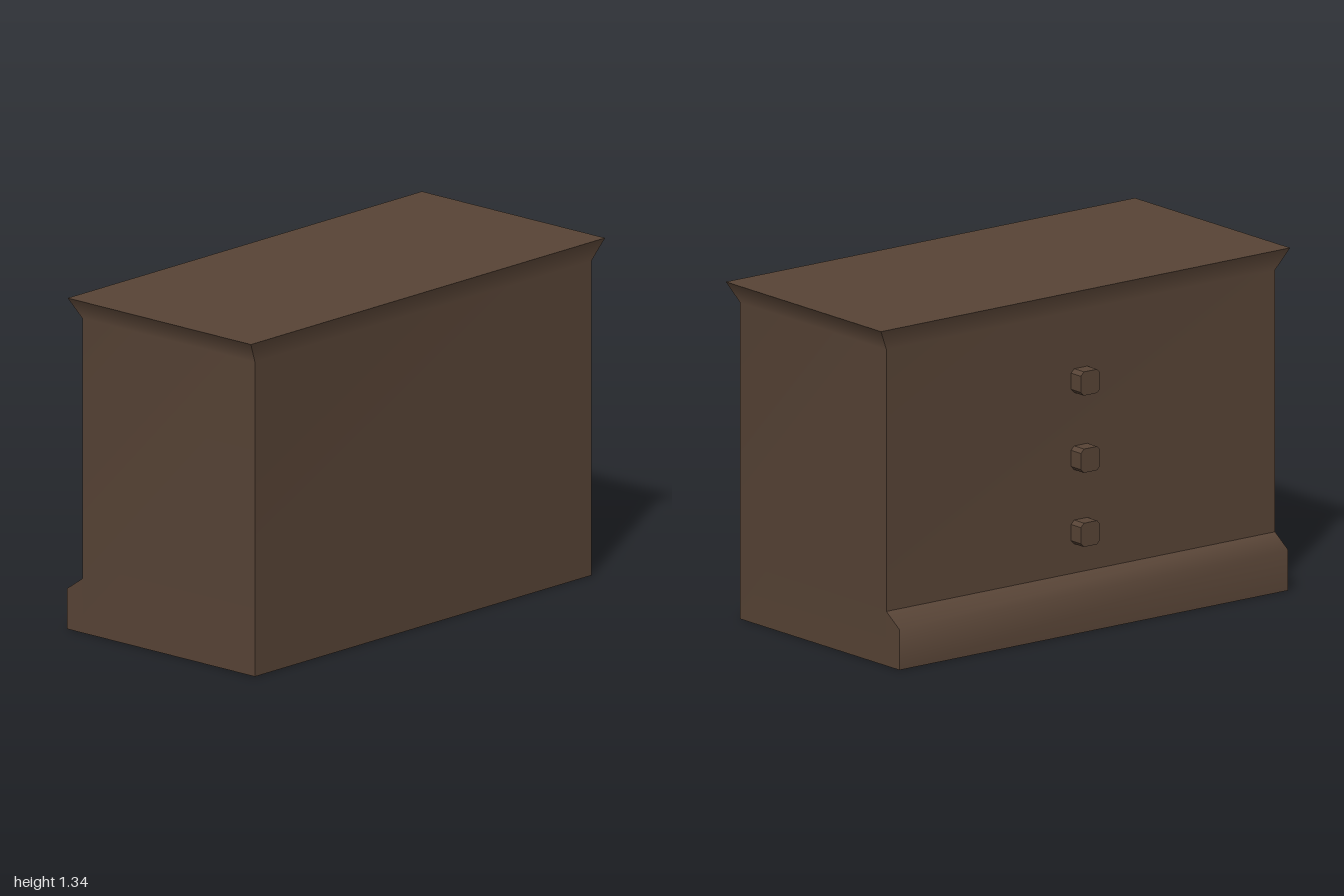
import * as THREE from 'three';

const wood = new THREE.MeshStandardMaterial({ color: 0x584436 });
wood.name = 'dark brown wood';

// Smooth strip of quads; each row is a [left, right] pair seen from outside, bottom to top
function strip(name, rows) {
  const geometry = new THREE.BufferGeometry();
  geometry.setAttribute('position', new THREE.Float32BufferAttribute(rows.flat(2), 3));
  const index = [];
  for (let i = 0; i < rows.length - 1; i++) {
    const a = i * 2;
    index.push(a, a + 1, a + 3, a, a + 3, a + 2);
  }
  geometry.setIndex(index);
  geometry.computeVertexNormals();
  const mesh = new THREE.Mesh(geometry, wood);
  mesh.name = name;
  return mesh;
}

// Four corners of a level rectangle, anticlockwise from the (-x, +z) one
const ring = (y, x0, x1, z) => [[x0, y, z], [x1, y, z], [x1, y, -z], [x0, y, -z]];

function createBody() {
  const body = new THREE.Group();
  body.name = 'cabinetBody';
  const rings = [
    ring(0, -0.42, 0.475, 0.95),
    ring(1.25, -0.42, 0.475, 0.95),
    ring(1.335, -0.45, 0.5, 1), // flared worktop edge
  ];
  ['endWall', 'plainWall', 'farEndWall', 'drawerWall'].forEach((name, i) =>
    body.add(strip(name, rings.map(r => [r[i], r[(i + 1) % 4]]))));
  const [base, , top] = rings;
  body.add(strip('worktop', [[top[0], top[1]], [top[3], top[2]]]));
  body.add(strip('underside', [[base[3], base[2]], [base[0], base[1]]]));
  return body;
}

function createPlinth() {
  const plinth = new THREE.Group();
  plinth.name = 'plinth';
  const z = 0.95;
  const row = (x, y) => [[x, y, -z], [x, y, z]];
  // Upright face and sloping top
  plinth.add(strip('plinthFace', [row(-0.5, 0), row(-0.5, 0.16), row(-0.42, 0.215)]));
  plinth.add(strip('plinthUnderside', [row(-0.42, 0), row(-0.5, 0)]));
  // Matching ends
  for (const s of [1, -1]) {
    const rows = [
      [[-0.5, 0, s * z], [-0.42, 0, s * z]],
      [[-0.5, 0.16, s * z], [-0.42, 0.215, s * z]],
    ];
    if (s < 0) rows.forEach(r => r.reverse());
    plinth.add(strip('plinthEnd', rows));
  }
  return plinth;
}

// Stubby knob with cut corners, pointing towards -x
function createKnob(y) {
  const r = 0.047, c = 0.032;
  const outline = [[r, -c], [r, c], [c, r], [-c, r], [-r, c], [-r, -c], [-c, -r], [c, -r]];
  const shape = new THREE.Shape(outline.map(p => new THREE.Vector2(...p)));
  const geometry = new THREE.ExtrudeGeometry(shape, { depth: 0.06, bevelEnabled: false });
  geometry.rotateY(-Math.PI / 2);
  const knob = new THREE.Mesh(geometry, wood);
  knob.name = 'drawerKnob';
  knob.position.set(-0.42, y, 0);
  return knob;
}

export function createModel() {
  const model = new THREE.Group();
  model.name = 'cabinet';
  model.add(createBody(), createPlinth());
  for (const y of [0.975, 0.67, 0.377]) model.add(createKnob(y));
  return model;
}
